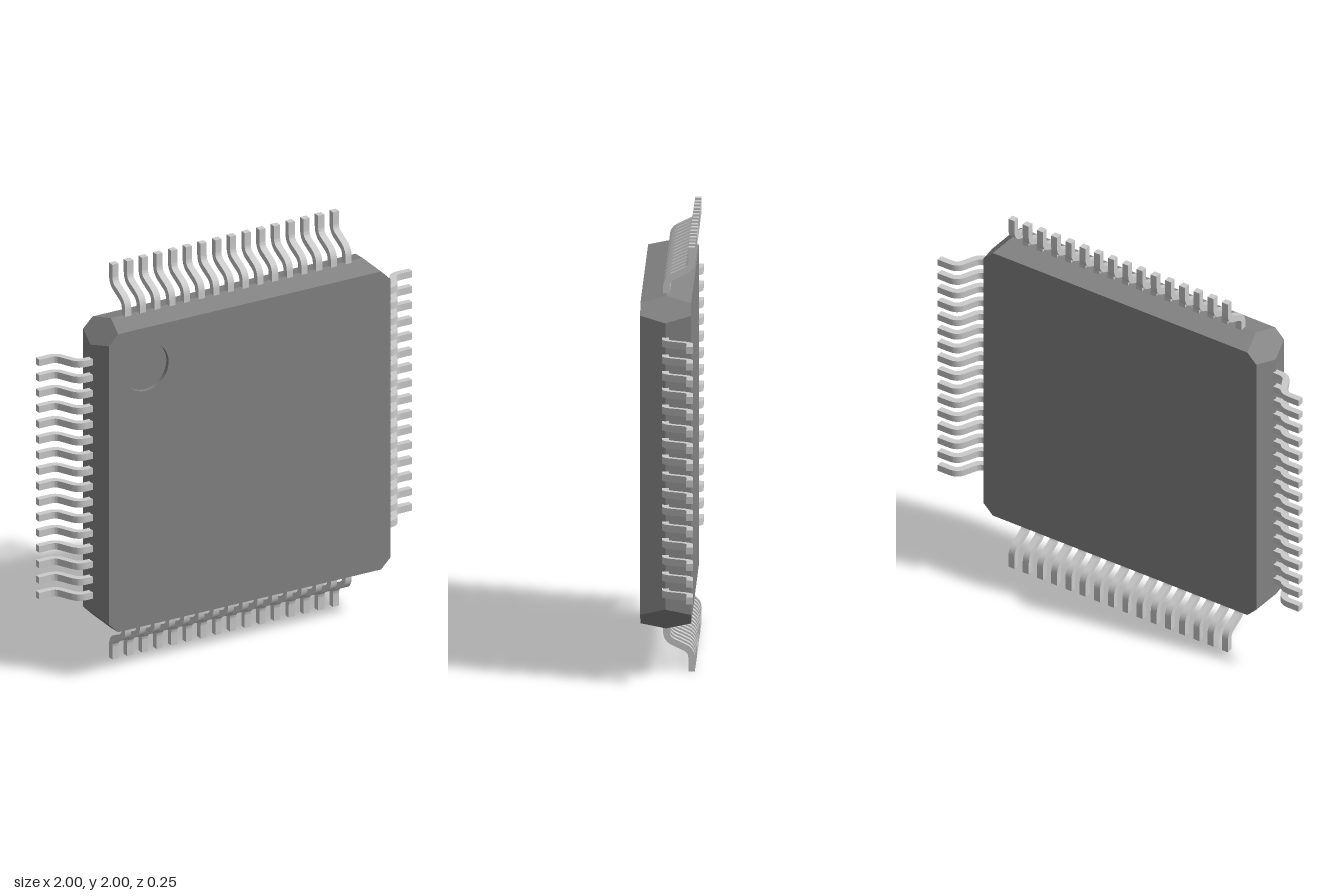
import * as THREE from 'three';
import { toCreasedNormals, mergeGeometries } from 'three/addons/utils/BufferGeometryUtils.js';

const FRONT = 0.125, MID = 0.007, BACK = -0.11;
const DIMPLE = { x: -0.555, y: 0.555, r: 0.12, depth: 0.02 };

// Square outline with cut corners; the corner cuts stay on the same planes at any size
function outline(half) {
  const c = 1.46 - half;
  return [[half, -c], [half, c], [c, half], [-c, half], [-half, c], [-half, -c], [-c, -half], [c, -half]]
    .map(([x, y]) => new THREE.Vector2(x, y));
}

// Flat-sided band between the rings of the package, wide in the middle
function bandGeometry(rings) {
  const pos = [];
  const put = (ring, i) => {
    const p = ring.pts[i % 8];
    pos.push(p.x, p.y, ring.z);
  };
  for (let k = 0; k < rings.length - 1; k++) {
    const a = rings[k], b = rings[k + 1];
    for (let i = 0; i < 8; i++) {
      put(a, i); put(a, i + 1); put(b, i + 1);
      put(a, i); put(b, i + 1); put(b, i);
    }
  }
  const g = new THREE.BufferGeometry();
  g.setAttribute('position', new THREE.Float32BufferAttribute(pos, 3));
  g.computeVertexNormals();
  return g;
}

// Gull-wing lead: a rounded centreline thickened to a ribbon, then extruded
function leadGeometry() {
  const width = 0.033, t = 0.0155;
  const v = (x, y) => new THREE.Vector2(x, y);
  const path = [v(0.74, MID)];
  const bend = (a, corner, b) => path.push(...new THREE.QuadraticBezierCurve(a, corner, b).getPoints(6));
  bend(v(0.812, MID), v(0.847, MID), v(0.862, -0.024));
  bend(v(0.888, -0.079), v(0.903, -0.11), v(0.938, -0.11));
  path.push(v(1, -0.11));
  const side = (s) => path.map((p, i) => {
    const a = path[Math.max(i - 1, 0)], b = path[Math.min(i + 1, path.length - 1)];
    const d = b.clone().sub(a).normalize();
    return v(p.x - d.y * t * s, p.y + d.x * t * s);
  });
  const shape = new THREE.Shape([...side(-1), ...side(1).reverse()]);
  const g = new THREE.ExtrudeGeometry(shape, { depth: width, bevelEnabled: false });
  g.translate(0, 0, -width / 2);
  g.rotateX(Math.PI / 2);
  return toCreasedNormals(g, 0.6);
}

export function createModel() {
  const model = new THREE.Group();
  model.name = 'chip';
  const bodyMat = new THREE.MeshStandardMaterial({ color: 0x848484 });
  const dimpleMat = new THREE.MeshStandardMaterial({ color: 0x848484, side: THREE.DoubleSide });
  const leadMat = new THREE.MeshStandardMaterial({ color: 0xcccccc });
  const add = (parent, name, geometry, material) => {
    const mesh = new THREE.Mesh(geometry, material);
    mesh.name = name;
    parent.add(mesh);
    return mesh;
  };

  // Package body: bevelled band, front face with a round opening, back face
  const body = new THREE.Group();
  body.name = 'body';
  model.add(body);
  const small = outline(0.755), large = outline(0.785);
  add(body, 'bevelledSides', bandGeometry([
    { pts: small, z: BACK }, { pts: large, z: MID }, { pts: small, z: FRONT },
  ]), bodyMat);

  const face = new THREE.Shape(small);
  face.holes.push(new THREE.Path().absarc(DIMPLE.x, DIMPLE.y, DIMPLE.r, 0, Math.PI * 2, true));
  add(body, 'frontFace', new THREE.ShapeGeometry(face, 24), bodyMat).position.z = FRONT;
  const back = add(body, 'backFace', new THREE.ShapeGeometry(new THREE.Shape(small)), bodyMat);
  back.rotation.y = Math.PI;
  back.position.z = BACK;

  // Recessed orientation mark
  const wall = new THREE.CylinderGeometry(DIMPLE.r, DIMPLE.r, DIMPLE.depth, 48, 1, true);
  wall.rotateX(Math.PI / 2);
  add(body, 'dimpleWall', wall, dimpleMat).position.set(DIMPLE.x, DIMPLE.y, FRONT - DIMPLE.depth / 2);
  add(body, 'dimpleFloor', new THREE.CircleGeometry(DIMPLE.r, 48), bodyMat)
    .position.set(DIMPLE.x, DIMPLE.y, FRONT - DIMPLE.depth);

  // Sixteen leads in a row, one row per side
  const lead = leadGeometry();
  const row = mergeGeometries(Array.from({ length: 16 }, (_, i) =>
    lead.clone().translate(0, (i - 7.5) * 0.0788, 0)));
  ['leftLeads', 'topLeads', 'rightLeads', 'bottomLeads'].forEach((name, k) => {
    add(model, name, row, leadMat).rotation.z = k * Math.PI / 2;
  });

  model.position.y = 1;
  return model;
}
